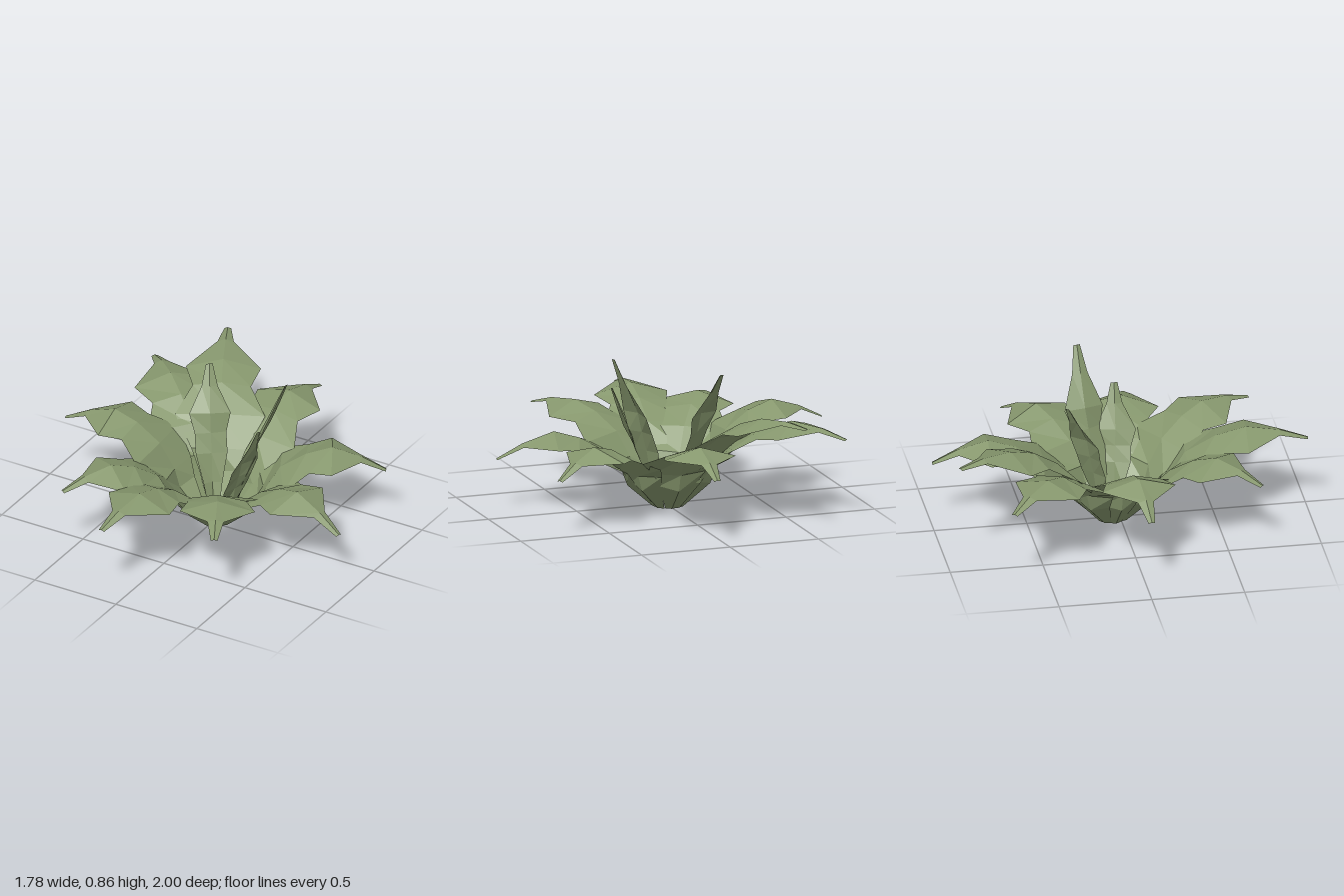
import * as THREE from 'three';

// Cross-sections: run and rise from base (0) to crown (1), half width,
// droop of the edges (negative folds them up into a channel)
const SPREADING = [
  { run: 0.0, rise: 0.0, half: 0.032, droop: -0.025 },
  { run: 0.25, rise: 0.27, half: 0.1, droop: -0.045 },
  { run: 0.31, rise: 0.47, half: 0.145, droop: -0.025 },
  { run: 0.48, rise: 0.73, half: 0.24, droop: 0.025 },
  { run: 0.74, rise: 0.91, half: 0.155, droop: 0.035 },
  { run: 1.0, rise: 1.0, half: 0.2, droop: 0.06 },
];
const UPRIGHT = [
  { run: 0.0, rise: 0.0, half: 0.025, droop: -0.02 },
  { run: 0.3, rise: 0.3, half: 0.05, droop: -0.02 },
  { run: 0.55, rise: 0.6, half: 0.085, droop: 0.0 },
  { run: 0.8, rise: 0.8, half: 0.085, droop: 0.01 },
  { run: 1.0, rise: 1.0, half: 0.11, droop: 0.02 },
];
const CENTRE = new THREE.Vector3(0, 0, -0.04);
const BASE_RADIUS = 0.085;

// Folded leaf with a central ridge, running base -> crown -> pointed tip
function leafGeometry(crown, tip, sections, neckLift) {
  const c = new THREE.Vector3(...crown);
  const t = new THREE.Vector3(...tip);
  const out = c.clone().sub(CENTRE).setY(0).normalize();
  const base = CENTRE.clone().addScaledVector(out, BASE_RADIUS);

  const rows = sections.map(({ run, rise, half, droop }) => {
    const p = base.clone().lerp(c, run);
    p.y = c.y * rise;
    return { p, half, droop };
  });
  const neck = c.clone().lerp(t, 0.55);
  neck.y += neckLift;
  rows.push({ p: neck, half: 0.043, droop: 0.014 });
  rows.push({ p: t, half: 0.018, droop: 0.006 });

  const positions = [];
  rows.forEach(({ p, half, droop }, i) => {
    const before = rows[Math.max(i - 1, 0)].p;
    const after = rows[Math.min(i + 1, rows.length - 1)].p;
    const along = after.clone().sub(before).normalize();
    const side = new THREE.Vector3(along.z, 0, -along.x).normalize();
    const up = along.clone().cross(side).normalize();
    for (const s of [-1, 0, 1]) {
      const v = p.clone().addScaledVector(side, s * half);
      v.addScaledVector(up, -Math.abs(s) * droop);
      positions.push(v.x, i === 0 ? 0 : v.y, v.z);
    }
  });

  const index = [];
  for (let i = 0; i < rows.length - 1; i++) {
    for (let j = 0; j < 2; j++) {
      const a = i * 3 + j;
      index.push(a, a + 1, a + 4, a, a + 4, a + 3);
    }
  }
  const indexed = new THREE.BufferGeometry();
  indexed.setAttribute('position', new THREE.Float32BufferAttribute(positions, 3));
  indexed.setIndex(index);
  const geometry = indexed.toNonIndexed();
  geometry.computeVertexNormals();
  return geometry;
}

export function createModel() {
  const plant = new THREE.Group();
  plant.name = 'leafyPlant';
  const green = new THREE.MeshStandardMaterial({ color: 0x87986e, flatShading: true, side: THREE.DoubleSide });
  green.name = 'leafGreen';

  // Spreading leaves: crown of the ridge, then tip
  const spreading = [
    [[0.06, 0.48, -0.7], [0.07, 0.37, -1.0]],
    [[-0.31, 0.59, -0.64], [-0.46, 0.59, -0.94]],
    [[-0.54, 0.52, -0.48], [-0.77, 0.45, -0.7]],
    [[-0.6, 0.52, 0.0], [-0.89, 0.4, 0.02]],
    [[-0.35, 0.48, 0.46], [-0.52, 0.38, 0.68]],
    [[-0.05, 0.5, 0.67], [-0.09, 0.43, 1.0]],
    [[0.33, 0.48, 0.5], [0.47, 0.42, 0.77]],
    [[0.59, 0.42, 0.11], [0.89, 0.28, 0.18]],
    [[0.53, 0.44, -0.36], [0.78, 0.31, -0.5]],
  ];
  // Young leaves standing in the middle
  const upright = [
    [[-0.13, 0.53, -0.2], [-0.2, 0.76, -0.31]],
    [[0.21, 0.55, -0.15], [0.35, 0.86, -0.17]],
    [[0.19, 0.42, 0.01], [0.29, 0.65, 0.02]],
  ];

  const addLeaves = (list, name, sections, lift) => list.forEach(([crown, tip], i) => {
    const leaf = new THREE.Mesh(leafGeometry(crown, tip, sections, lift), green);
    leaf.name = `${name}${i + 1}`;
    plant.add(leaf);
  });
  addLeaves(spreading, 'spreadingLeaf', SPREADING, 0.015);
  addLeaves(upright, 'uprightLeaf', UPRIGHT, 0.0);
  return plant;
}
